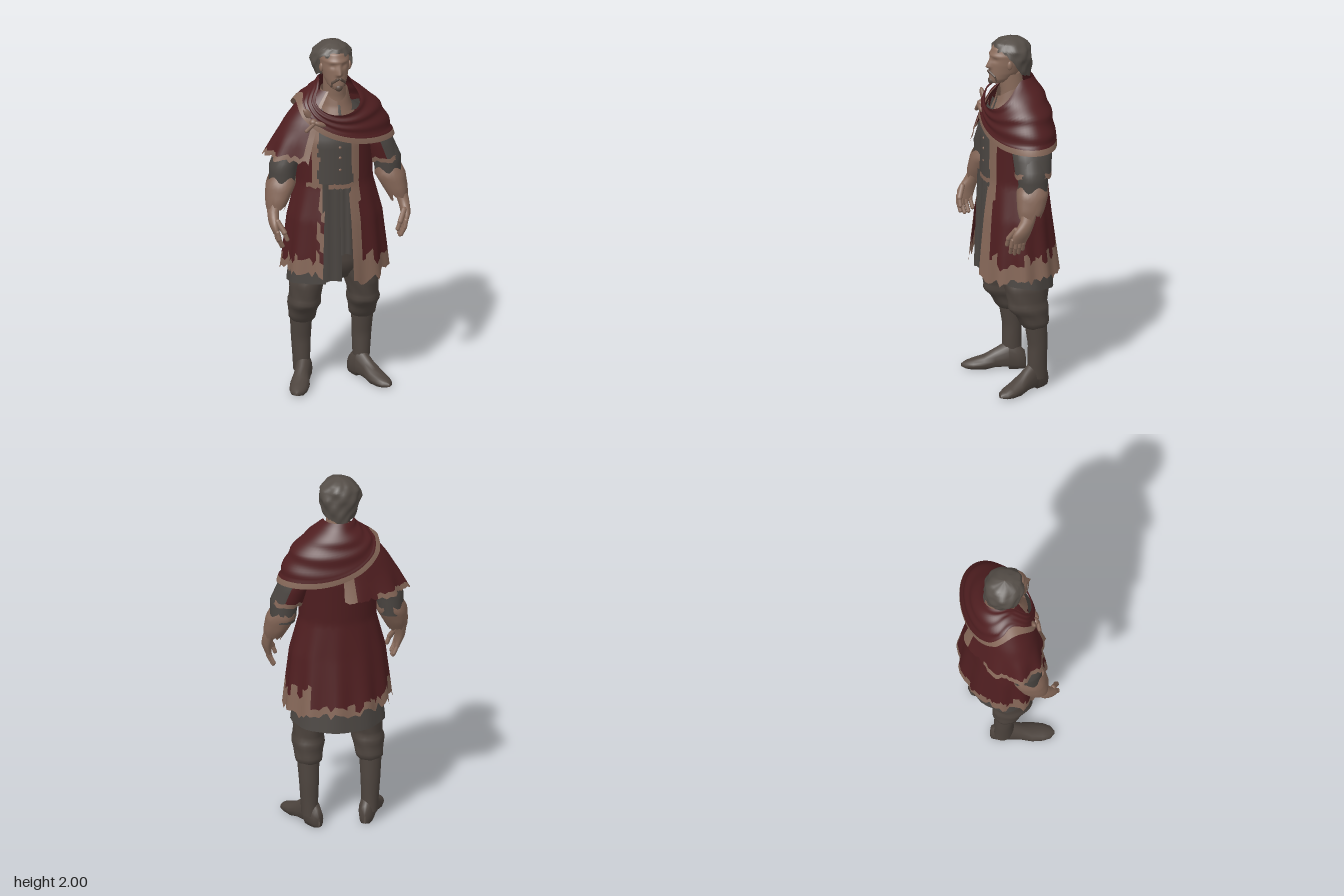
import * as THREE from 'three';

const paint = (name, color) => {
  const m = new THREE.MeshStandardMaterial({ color, side: THREE.DoubleSide });
  m.name = name;
  return m;
};
const red = paint('dark red cloth', 0x4f1e20), tan = paint('worn tan trim', 0x846657);
const grey = paint('grey linen', 0x4b4642), brown = paint('trouser and boot brown', 0x4d443e);
const skin = paint('skin', 0x8a6c5c), hair = paint('hair', 0x544d47), beard = paint('beard', 0x5c4b41);
const TAU = Math.PI * 2;
const noise = (i) => { const s = Math.sin(i * 12.9898 + 4.1) * 43758.5453; return s - Math.floor(s); };
const bell = (x, c, w) => Math.exp(-(((x - c) / w) ** 2));

// A grid of points f(i, j); pick(i, j) chooses the material of each cell
function grid(name, n, m, closed, f, mats, pick = () => 0) {
  const cols = closed ? n : n + 1, pos = [], buckets = mats.map(() => []);
  for (let j = 0; j <= m; j++) for (let i = 0; i < cols; i++) pos.push(...f(i, j));
  for (let j = 0; j < m; j++) for (let i = 0; i < n; i++) {
    const a = j * cols + i, b = j * cols + (i + 1) % cols;
    buckets[pick(i, j)].push(a, b, b + cols, a, b + cols, a + cols);
  }
  const g = new THREE.BufferGeometry();
  g.setAttribute('position', new THREE.Float32BufferAttribute(pos, 3));
  g.setIndex(buckets.flat());
  let start = 0;
  buckets.forEach((b, k) => { g.addGroup(start, b.length, k); start += b.length; });
  g.computeVertexNormals();
  const mesh = new THREE.Mesh(g, mats.length > 1 ? mats : mats[0]);
  mesh.name = name;
  return mesh;
}

// Rings are [y, centre x, centre z, radius x, radius z], lowest first
function ringAt(rings, y) {
  let k = 0;
  while (k < rings.length - 2 && y > rings[k + 1][0]) k++;
  const p = rings[k], q = rings[k + 1];
  const t = THREE.MathUtils.clamp((y - p[0]) / (q[0] - p[0]), 0, 1);
  return p.map((v, i) => v + (q[i] - v) * t);
}

// Cloth or body shell round the rings; angle 0 is the front, +90 degrees is +x
function shell(name, rings, mats, o = {}) {
  const { a0 = 0, a1 = TAU, n = 28, m = 14, bottom = () => rings[0][0], top = () => rings.at(-1)[0],
    bump = () => 0, trim = 0, pick, shape = (p) => p } = o;
  const ang = (i) => a0 + (a1 - a0) * i / n;
  const height = (i, j) => {
    const a = ang(i), lo = bottom(a, i), hi = top(a);
    if (!trim) return lo + (hi - lo) * j / m;
    return j === 0 ? lo : lo + trim + (hi - lo - trim) * (j - 1) / (m - 1);
  };
  const point = (i, j) => {
    const a = ang(i), y = height(i, j), [, cx, cz, rx, rz] = ringAt(rings, y), k = 1 + bump(a, y, j / m);
    return shape([cx + rx * k * Math.sin(a), y, cz + rz * k * Math.cos(a)], a);
  };
  const cell = pick && ((i, j) => pick(ang(i + 0.5), height(i, j), i, j));
  return grid(name, n, m, a1 - a0 > TAU - 0.001, point, mats, cell);
}

function blob(name, mat, [x, y, z], [sx, sy, sz], rz = 0) {
  const b = new THREE.Mesh(new THREE.SphereGeometry(1, 14, 10), mat);
  b.name = name;
  b.position.set(x, y, z);
  b.scale.set(sx, sy, sz);
  b.rotation.z = rz;
  return b;
}

function rod(name, mat, from, to, r) {
  const a = new THREE.Vector3(...from), d = new THREE.Vector3(...to).sub(a);
  const c = new THREE.Mesh(new THREE.CapsuleGeometry(r, d.length(), 4, 8), mat);
  c.name = name;
  c.position.copy(a).addScaledVector(d, 0.5);
  c.quaternion.setFromUnitVectors(new THREE.Vector3(0, 1, 0), d.normalize());
  return c;
}

function makeHead() {
  const g = new THREE.Group();
  g.name = 'head';
  const face = ([x, y, z], a) => {
    if (Math.cos(a) <= 0) return [x, y, z];
    const dx = x + 0.008, nose = THREE.MathUtils.clamp(1 - Math.abs(y - 1.845) / (y > 1.845 ? 0.055 : 0.018), 0, 1);
    const eyes = bell(Math.abs(dx), 0.032, 0.016) * bell(y, 1.887, 0.013);
    return [x, y, z + 0.028 * nose * bell(dx, 0, 0.013) - 0.009 * eyes + 0.004 * bell(y, 1.912, 0.01)];
  };
  g.add(shell('face', [[1.742, -0.008, 0.095, 0.004, 0.01], [1.75, -0.008, 0.09, 0.032, 0.05], [1.775, -0.008, 0.075, 0.052, 0.07],
    [1.81, -0.008, 0.055, 0.066, 0.088], [1.86, -0.008, 0.043, 0.076, 0.098], [1.91, -0.008, 0.035, 0.079, 0.103],
    [1.95, -0.008, 0.03, 0.07, 0.092], [1.985, -0.008, 0.02, 0.03, 0.045]], [skin], { n: 48, m: 40, shape: face }));
  g.add(shell('neck', [[1.56, 0, 0.005, 0.085, 0.08], [1.68, 0, 0.01, 0.062, 0.065], [1.8, -0.005, 0.025, 0.06, 0.065]], [skin]));
  // Wavy hair, low at the nape and short over the brow, fullest beside the temples
  g.add(shell('hair', [[1.76, -0.008, -0.02, 0.07, 0.07], [1.82, -0.012, -0.002, 0.098, 0.095], [1.89, -0.016, 0.006, 0.118, 0.106],
    [1.94, -0.014, 0.014, 0.107, 0.106], [1.975, -0.012, 0.018, 0.072, 0.085], [1.993, -0.012, 0.015, 0.035, 0.04], [2, -0.012, 0.012, 0.002, 0.002]],
  [hair], { n: 56, m: 22, bump: (a, y) => y > 1.99 ? 0 : 0.035 * Math.sin(5 * a + y * 45) + 0.02 * Math.sin(9 * a - y * 70),
    bottom: (a, i) => { const c = Math.cos(a); return (c > 0 ? 1.81 + 0.135 * Math.min(1, c * 1.5) : 1.81 + 0.04 * c) - 0.018 * noise(i); } }));
  for (const s of [-1, 1]) {
    g.add(blob('ear', skin, [-0.008 + s * 0.078, 1.862, 0.058], [0.012, 0.026, 0.015]));
    g.add(rod('moustache', beard, [-0.008 + s * 0.008, 1.817, 0.147], [-0.008 + s * 0.034, 1.793, 0.127], 0.008));
    g.add(rod('moustache tip', beard, [-0.008 + s * 0.034, 1.793, 0.127], [-0.008 + s * 0.036, 1.772, 0.12], 0.006));
  }
  g.add(blob('goatee', beard, [-0.008, 1.763, 0.136], [0.02, 0.02, 0.016]));
  return g;
}

function makeArm(s) {
  const g = new THREE.Group();
  g.name = s > 0 ? 'leftArm' : 'rightArm';
  g.add(shell('sleeve', [[1.18, s * 0.3, 0.02, 0.068, 0.08], [1.3, s * 0.29, 0.02, 0.077, 0.085],
    [1.45, s * 0.225, 0.005, 0.08, 0.09], [1.6, s * 0.15, -0.01, 0.06, 0.07]], [grey]));
  g.add(shell('tattered cuff', [[1.05, s * 0.35, 0.068, 0.046, 0.054], [1.12, s * 0.332, 0.05, 0.068, 0.08], [1.2, s * 0.306, 0.03, 0.086, 0.093],
    [1.25, s * 0.295, 0.02, 0.073, 0.083]], [tan], { m: 8, bottom: (a, i) => 1.06 + 0.05 * noise(i) - 0.02 * Math.max(0, -s * Math.sin(a)),
    top: (a) => 1.235 + 0.015 * Math.sin(a * 5), bump: (a) => 0.04 * Math.sin(a * 4) }));
  // Hand, with the palm turned inwards
  g.add(shell('palm', [[0.945, s * 0.358, 0.135, 0.016, 0.045], [1, s * 0.37, 0.12, 0.026, 0.053], [1.06, s * 0.365, 0.085, 0.032, 0.042],
    [1.14, s * 0.34, 0.055, 0.04, 0.046]], [skin], { m: 8 }));
  for (let k = 0; k < 4; k++) {
    const z = 0.1 + k * 0.024, drop = [0.02, 0.003, 0, 0.012][k];
    g.add(rod('finger', skin, [s * 0.36, 0.965, z], [s * 0.352, 0.915 + drop, z + 0.004], 0.0125));
    g.add(rod('fingertip', skin, [s * 0.352, 0.915 + drop, z + 0.004], [s * 0.332, 0.874 + drop, z], 0.011));
  }
  g.add(rod('thumb', skin, [s * 0.355, 1.02, 0.15], [s * 0.325, 0.965, 0.18], 0.015));
  g.add(rod('thumb tip', skin, [s * 0.325, 0.965, 0.18], [s * 0.31, 0.925, 0.183], 0.012));
  return g;
}

function makeLeg(s) {
  const g = new THREE.Group();
  g.name = s > 0 ? 'leftLeg' : 'rightLeg';
  g.add(shell('trouser leg', [[0.36, s * 0.168, -0.045, 0.058, 0.062], [0.38, s * 0.168, -0.045, 0.076, 0.078], [0.43, s * 0.167, -0.03, 0.079, 0.09],
    [0.48, s * 0.165, -0.008, 0.09, 0.118], [0.51, s * 0.163, -0.005, 0.083, 0.11], [0.6, s * 0.152, -0.005, 0.095, 0.125], [0.8, s * 0.095, 0, 0.095, 0.12]],
  [brown], { m: 24, bump: (a, y) => 0.025 * Math.sin(6 * a + y * 40) }));
  g.add(shell('boot shaft', [[0.06, s * 0.167, -0.062, 0.044, 0.054], [0.14, s * 0.168, -0.06, 0.048, 0.054], [0.25, s * 0.17, -0.062, 0.054, 0.053],
    [0.38, s * 0.172, -0.05, 0.061, 0.062]], [brown]));
  // Foot sections along the heel-to-toe line: [distance, half width, height, sole height]
  const foot = [[-0.128, 0.004, 0.05, 0], [-0.12, 0.032, 0.1, 0], [-0.08, 0.044, 0.14, 0], [-0.035, 0.044, 0.16, 0], [-0.03, 0.044, 0.158, 0.015],
    [0.04, 0.044, 0.112, 0.012], [0.1, 0.054, 0.074, 0], [0.16, 0.05, 0.054, 0], [0.2, 0.036, 0.04, 0.004], [0.224, 0.006, 0.026, 0.01]];
  g.add(grid('boot foot', 16, foot.length - 1, true, (i, j) => {
    const a = TAU * i / 16, [t, w, h, sole] = foot[j], side = w * Math.sin(a);
    return [s * (0.175 + t * 0.38 + side * 0.925), Math.max(sole, h * (0.4 + 0.6 * Math.cos(a))), -0.008 + t * 0.925 - side * 0.38];
  }, [brown]));
  return g;
}

export function createModel() {
  const g = new THREE.Group();
  g.name = 'caped wanderer';
  g.add(makeHead());
  for (const s of [-1, 1]) g.add(makeArm(s), makeLeg(s));

  // Body and underclothes
  g.add(shell('trouser seat', [[0.62, 0, -0.01, 0.1, 0.08], [0.7, 0, 0, 0.18, 0.13], [1.2, 0, 0, 0.17, 0.13]], [brown]));
  g.add(shell('shirt', [[1, 0, 0, 0.16, 0.14], [1.2, 0, 0.005, 0.18, 0.152], [1.45, 0, -0.005, 0.185, 0.155], [1.6, 0, -0.005, 0.15, 0.12],
    [1.64, 0, 0, 0.08, 0.08]], [grey]));
  g.add(shell('tunic skirt', [[0.57, 0, -0.012, 0.262, 0.19], [0.9, 0, 0, 0.225, 0.17]], [grey],
    { a0: 0.3, a1: TAU - 0.35, n: 32, bottom: (a) => 0.605 + 0.03 * Math.cos(a), bump: (a) => 0.02 * Math.sin(a * 9) }));
  g.add(shell('red lining', [[0.58, 0, -0.012, 0.24, 0.178], [0.9, 0, 0, 0.2, 0.155]], [red], { a0: 2.5, a1: 3.78, n: 10, m: 4 }));
  const panel = (name, x0, x1, y0, y1) => g.add(grid(name, 6, 8, false, (i, j) => {
    const y = y0 + (y1 - y0) * j / 8 + (j ? 0 : 0.012 * noise(i));
    return [x0 + (x1 - x0) * i / 6, y, 0.192 - 0.022 * j / 8 + 0.003 * Math.sin(i * 1.6)];
  }, [grey]));
  panel('long sash', -0.11, -0.005, 0.65, 1.22);
  panel('short sash', -0.01, 0.05, 0.8, 1.22);

  // Open coat with frayed hem and edges; the fraying is deepest on the +x side
  const hem = (a, i) => 0.715 - 0.02 * Math.sin(a) - 0.05 * noise(i) - 0.04 * bell(a, 0.4, 0.35);
  const backHalf = (a) => a > 2.4 && a < 4;
  g.add(shell('coat', [[0.62, 0, -0.002, 0.3, 0.235], [0.8, 0, 0.003, 0.283, 0.217], [1, 0, 0.006, 0.262, 0.195], [1.2, 0, 0, 0.212, 0.172],
    [1.45, 0, -0.01, 0.215, 0.18], [1.62, 0, -0.01, 0.18, 0.14]], [red, tan], { a0: 0.17, a1: TAU - 0.4, n: 72, m: 44, bottom: hem,
    bump: (a, y) => 0.035 * Math.max(0, 1.25 - y) * 2 * Math.sin(a * 11),
    pick: (a, y, i) => {
      const n = noise(Math.floor(i / 2) + 50);
      const fray = backHalf(a) ? 0.015 + 0.035 * n : Math.sin(a) > 0 ? 0.06 + 0.08 * n : 0.035 + 0.05 * n;
      if (y < hem(a, i) + fray || (i === 28 && y < 0.85)) return 1;
      return i < (y > 1.1 ? 4 : 3) || (i > 69 && noise(i + Math.floor(y * 18)) > 0.35) ? 1 : 0;
    } }));
  // Waistcoat front: red flap, tan edge, grey middle and tan hem
  g.add(shell('waistcoat', [[1.19, 0, 0.005, 0.218, 0.177], [1.45, 0, -0.005, 0.22, 0.182], [1.6, 0, -0.01, 0.19, 0.145]], [grey, tan, red],
    { a0: -1, a1: 0.3, n: 26, m: 16, bottom: (a, i) => 1.185 + 0.012 * noise(i),
      pick: (a, y, i, j) => j < 1 || (i > 24 && y > 1.25) ? 1 : a < -0.78 ? 2 : a < -0.55 - 0.1 * noise(j) ? 1 : 0 }));
  for (const y of [1.3, 1.37, 1.43]) g.add(blob('button', tan, [-0.012, y, 0.178], [0.008, 0.008, 0.005]));

  // Cape layers: short sleeve on one arm, half cape on the other, shawl on top
  g.add(shell('short sleeve', [[1.27, 0.283, 0.015, 0.088, 0.1], [1.42, 0.228, 0, 0.092, 0.115], [1.6, 0.14, -0.01, 0.06, 0.08]], [grey, tan, red],
    { m: 10, trim: 0.025, bottom: (a, i) => 1.275 + 0.025 * noise(i), pick: (a, y, i, j) => j < 1 ? 1 : a > 2.6 ? 2 : 0 }));
  g.add(shell('half cape', [[1.33, 0, -0.016, 0.39, 0.217], [1.45, 0, -0.01, 0.332, 0.188], [1.55, 0, -0.01, 0.272, 0.165], [1.65, 0, -0.01, 0.195, 0.128],
    [1.72, 0, -0.01, 0.1, 0.09]], [red, tan], { a0: -3.15, a1: -0.5, n: 44, m: 16, trim: 0.028,
    bottom: (a, i) => 1.34 + 0.025 * noise(i + 9), bump: (a, y) => Math.max(0, 1.5 - y) * 0.25 * Math.sin(a * 10),
    pick: (a, y, i, j) => (j < 1 && i > 8) || i < 3 || i > 41 ? 1 : 0 }));
  g.add(shell('collar', [[1.54, 0, 0.012, 0.13, 0.14], [1.64, 0, 0.01, 0.088, 0.1], [1.73, -0.003, 0.008, 0.072, 0.078]], [tan],
    { a0: 0.08, a1: TAU - 0.08, top: (a) => 1.72 - 0.05 * Math.max(0, Math.cos(a)) ** 3 }));
  g.add(shell('shawl', [[1.4, 0, -0.012, 0.335, 0.188], [1.5, 0, -0.012, 0.31, 0.183], [1.6, 0, -0.012, 0.262, 0.17], [1.67, -0.005, -0.012, 0.2, 0.15],
    [1.73, 0, -0.015, 0.115, 0.115], [1.78, 0, -0.015, 0.074, 0.08]], [red, tan], { n: 64, m: 26, trim: 0.032,
    bottom: (a) => 1.42 + 0.242 * ((1 - Math.sin(a)) / 2) ** 2.5,
    top: (a) => 1.77 - 0.16 * Math.max(0, Math.cos(a)) ** 2,
    bump: (a, y, v) => 0.03 * Math.sin(v * 20 + 2 * a) * (0.3 + 0.7 * v) + (v < 0.05 ? 0.025 : 0.005),
    pick: (a, y, i, j) => j < 1 ? 1 : 0 }));
  // Knotted clasp on the shoulder
  g.add(blob('clasp knot', tan, [-0.15, 1.575, 0.135], [0.022, 0.02, 0.018]));
  g.add(blob('clasp loop', tan, [-0.175, 1.615, 0.11], [0.018, 0.04, 0.014], 0.6));
  g.add(blob('clasp loop', tan, [-0.115, 1.565, 0.15], [0.036, 0.015, 0.014], -0.4));
  g.add(rod('clasp tail', tan, [-0.155, 1.565, 0.145], [-0.19, 1.53, 0.14], 0.011));
  return g;
}
